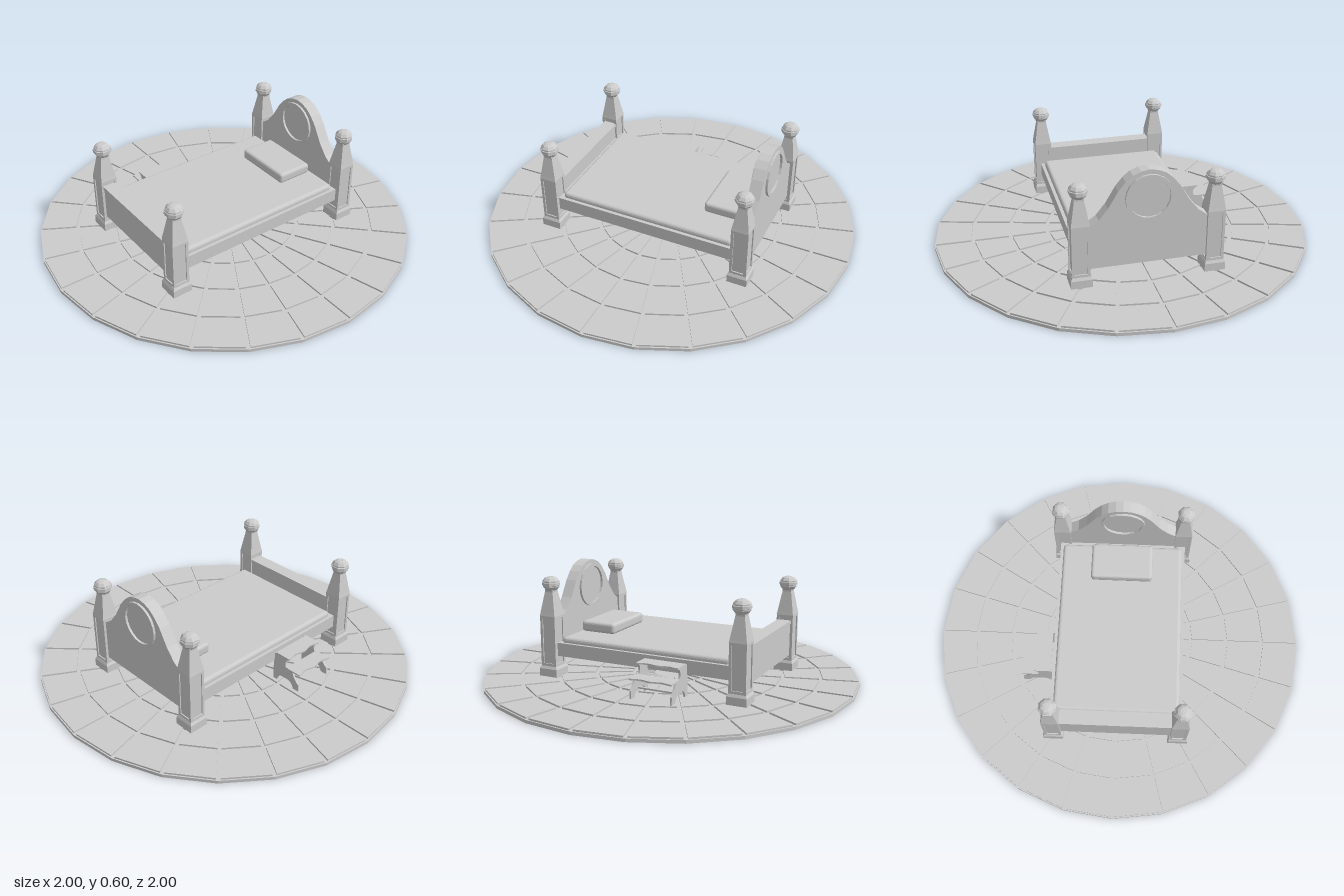
import * as THREE from 'three';
import { mergeGeometries } from 'three/addons/utils/BufferGeometryUtils.js';
import { RoundedBoxGeometry } from 'three/addons/geometries/RoundedBoxGeometry.js';

const flat = new THREE.MeshStandardMaterial({ color: 0xcccccc, flatShading: true });

function add(parent, name, geometry, x = 0, y = 0, z = 0) {
  const mesh = new THREE.Mesh(geometry, flat);
  mesh.name = name;
  mesh.position.set(x, y, z);
  parent.add(mesh);
  return mesh;
}

// Box given by its minimum and maximum corners
function span(parent, name, [x0, y0, z0], [x1, y1, z1]) {
  const box = new THREE.BoxGeometry(x1 - x0, y1 - y0, z1 - z0);
  return add(parent, name, box, (x0 + x1) / 2, (y0 + y1) / 2, (z0 + z1) / 2);
}

// Square tapering column from [halfWidth, y] pairs
function squareLathe(profile) {
  const pts = profile.map(([h, y]) => new THREE.Vector2(h * Math.SQRT2, y));
  return new THREE.LatheGeometry(pts, 4, Math.PI / 4);
}

// Outline in (-z, y), extruded along x and starting at x0
function sideExtrude(shape, width, x0) {
  const geo = new THREE.ExtrudeGeometry(shape, { depth: width, bevelEnabled: false, curveSegments: 10 });
  return geo.rotateY(Math.PI / 2).translate(x0, 0, 0);
}

// Round paved floor: a base disc with five rings of separate tiles
function makeFloor() {
  const floor = new THREE.Group();
  floor.name = 'floor';
  const sides = 24, step = (Math.PI * 2) / sides, gap = 0.01;
  add(floor, 'floorBase', new THREE.CylinderGeometry(1, 1, 0.016, sides), 0, 0.008, 0);
  const tiles = [];
  for (let ring = 0; ring < 5; ring++) {
    const r0 = ring === 0 ? 0.09 : ring * 0.2 + gap;
    const r1 = ring === 4 ? 0.992 : (ring + 1) * 0.2 - gap;
    const corner = (r, side) => {
      const a = side > 0 ? step - gap / r : gap / r;
      return new THREE.Vector2(r * Math.cos(a), r * Math.sin(a));
    };
    const shape = new THREE.Shape([corner(r0, -1), corner(r1, -1), corner(r1, 1), corner(r0, 1)]);
    const tile = new THREE.ExtrudeGeometry(shape, { depth: 0.012, bevelEnabled: false });
    tile.rotateX(-Math.PI / 2).translate(0, 0.013, 0);
    for (let i = 0; i < sides; i++) tiles.push(tile.clone().rotateY(i * step));
  }
  add(floor, 'floorTiles', mergeGeometries(tiles));
  return floor;
}

// Bedpost with plinth, framed shaft, tapered neck and faceted finial
function makePost(name, shoulder) {
  const post = new THREE.Group();
  post.name = name;
  add(post, 'plinth', squareLathe([[0, 0.02], [0.053, 0.02], [0.053, 0.066], [0.046, 0.08], [0, 0.08]]));
  add(post, 'shaft', squareLathe([[0.039, 0.07], [0.039, shoulder]]));
  for (const sx of [-1, 1]) for (const sz of [-1, 1]) {
    add(post, 'cornerStrip', new THREE.BoxGeometry(0.014, shoulder - 0.07, 0.014),
      sx * 0.038, (shoulder + 0.07) / 2, sz * 0.038);
  }
  for (const y of [0.087, shoulder - 0.007]) {
    add(post, 'shaftBand', new THREE.BoxGeometry(0.09, 0.014, 0.09), 0, y, 0);
  }
  const top = shoulder + 0.137;
  add(post, 'neck', squareLathe([[0, shoulder], [0.046, shoulder], [0.043, shoulder + 0.015],
    [0.024, top - 0.012], [0.024, top], [0, top]]));
  const finial = [[0.018, -0.004], [0.032, 0.004], [0.044, 0.02], [0.044, 0.027], [0.048, 0.029],
    [0.048, 0.043], [0.044, 0.045], [0.044, 0.052], [0.032, 0.066], [0.018, 0.072], [0, 0.073]];
  add(post, 'finial', new THREE.LatheGeometry(
    finial.map(([r, y]) => new THREE.Vector2(r, y)), 8, Math.PI / 8), 0, top - 0.005, 0);
  return post;
}

// Arched headboard with a round framed medallion
function makeHeadboard() {
  const board = new THREE.Group();
  board.name = 'headboard';
  const half = [[0.3, 0.33], [0.285, 0.335], [0.245, 0.365], [0.2, 0.42], [0.15, 0.505],
    [0.115, 0.548], [0.08, 0.577], [0.04, 0.594]];
  const arch = new THREE.Shape();
  arch.moveTo(-0.3, 0.11);
  arch.lineTo(0.3, 0.11);
  half.forEach(([u, y]) => arch.lineTo(u, y));
  arch.lineTo(0, 0.6);
  [...half].reverse().forEach(([u, y]) => arch.lineTo(-u, y));
  arch.closePath();
  add(board, 'headboardPanel', sideExtrude(arch, 0.062, 0.5));
  const ring = new THREE.Shape().absarc(0, 0.46, 0.118, 0, Math.PI * 2);
  ring.holes.push(new THREE.Path().absarc(0, 0.46, 0.103, 0, Math.PI * 2, true));
  add(board, 'medallionRing', sideExtrude(ring, 0.086, 0.488));
  return board;
}

// Two-step stool with scrolled side panels
function makeStool() {
  const stool = new THREE.Group();
  stool.name = 'stepStool';
  const side = new THREE.Shape();
  side.moveTo(0.345, 0.02);
  side.lineTo(0.345, 0.185);
  side.lineTo(0.445, 0.185);
  side.quadraticCurveTo(0.415, 0.165, 0.43, 0.132);
  side.lineTo(0.475, 0.128);
  side.quadraticCurveTo(0.485, 0.09, 0.518, 0.065);
  side.lineTo(0.52, 0.02);
  side.lineTo(0.485, 0.02);
  side.quadraticCurveTo(0.475, 0.062, 0.445, 0.062);
  side.lineTo(0.405, 0.062);
  side.quadraticCurveTo(0.375, 0.06, 0.37, 0.02);
  side.closePath();
  for (const x of [-0.26, -0.04]) add(stool, 'stoolSide', sideExtrude(side, 0.01, x));
  // Treads with a wavy front edge
  const tread = (name, back, front, y) => {
    const s = new THREE.Shape();
    s.moveTo(-0.26, back);
    s.lineTo(-0.03, back);
    for (let i = 0; i <= 12; i++) {
      const t = i / 12;
      s.lineTo(-0.03 - 0.23 * t, front + 0.006 * Math.cos(t * Math.PI * 4));
    }
    const geo = new THREE.ExtrudeGeometry(s, { depth: 0.008, bevelEnabled: false });
    add(stool, name, geo.rotateX(-Math.PI / 2), 0, y, 0);
  };
  tread('upperTread', 0.36, 0.445, 0.183);
  tread('lowerTread', 0.435, 0.518, 0.122);
  span(stool, 'stoolBrace', [-0.255, 0.06, -0.45], [-0.035, 0.068, -0.435]);
  return stool;
}

export function createModel() {
  const model = new THREE.Group();
  model.name = 'bedOnPavedFloor';
  model.add(makeFloor());

  const bed = new THREE.Group();
  bed.name = 'bed';
  model.add(bed);
  for (const z of [-0.335, 0.335]) {
    const head = makePost('headPost', 0.35);
    head.position.set(0.535, 0, z);
    const foot = makePost('footPost', 0.33);
    foot.position.set(-0.535, 0, z);
    bed.add(head, foot);
  }
  bed.add(makeHeadboard());
  span(bed, 'footboard', [-0.565, 0.11, -0.3], [-0.5, 0.29, 0.3]);
  span(bed, 'footboardCap', [-0.57, 0.285, -0.3], [-0.494, 0.302, 0.3]);
  span(bed, 'bedFrame', [-0.5, 0.135, -0.35], [0.5, 0.206, 0.35]);
  add(bed, 'mattress', new RoundedBoxGeometry(0.955, 0.07, 0.665, 2, 0.018), 0, 0.2, 0);
  add(bed, 'pillow', new RoundedBoxGeometry(0.2, 0.058, 0.335, 2, 0.016), 0.36, 0.262, 0);

  model.add(makeStool());
  return model;
}
